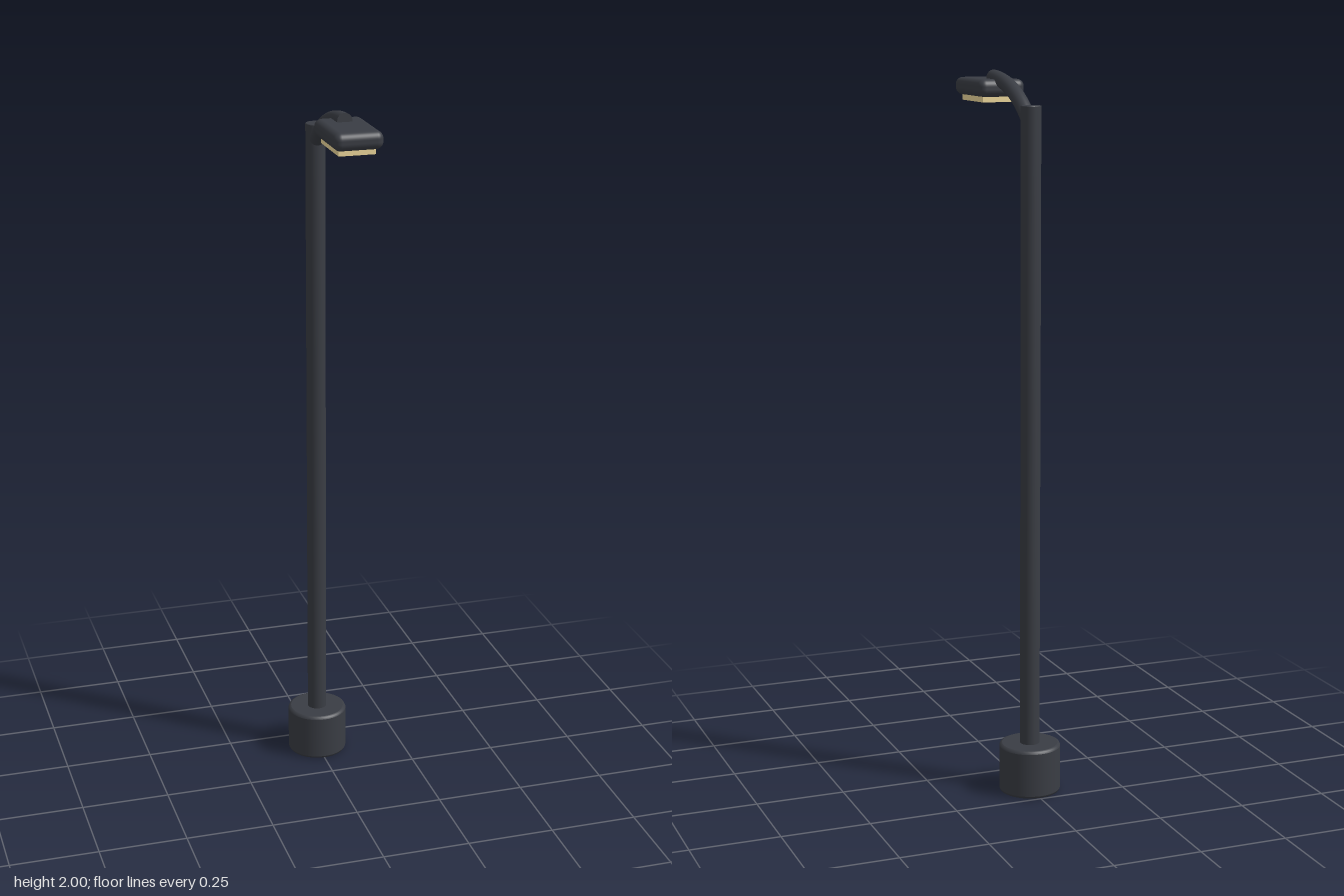
import * as THREE from 'three';
import { RoundedBoxGeometry } from 'three/addons/geometries/RoundedBoxGeometry.js';

const POLE_Z = -0.165;

export function createModel() {
  const group = new THREE.Group();
  const metal = new THREE.MeshStandardMaterial({ color: 0x3a3d44 });
  const glow = new THREE.MeshStandardMaterial({ color: 0xf2dc9e });

  const add = (name, geometry, material, x, y, z) => {
    const mesh = new THREE.Mesh(geometry, material);
    mesh.name = name;
    mesh.position.set(x, y, z);
    group.add(mesh);
    return mesh;
  };

  // Solid round post with small bevelled rims, standing on y = 0
  const post = (radius, height, bevel) => {
    const corners = [
      [0, 0], [radius - bevel, 0], [radius - bevel, 0],
      [radius - bevel * 0.3, bevel * 0.3], [radius, bevel],
      [radius, bevel], [radius, height - bevel], [radius, height - bevel],
      [radius - bevel * 0.3, height - bevel * 0.3], [radius - bevel, height],
      [radius - bevel, height], [0, height],
    ];
    return new THREE.LatheGeometry(corners.map(([r, y]) => new THREE.Vector2(r, y)), 40);
  };

  // Footing and pole
  add('base', post(0.086, 0.139, 0.008), metal, 0, 0, POLE_Z);
  add('pole', post(0.0275, 1.815, 0.002), metal, 0, 0.1, POLE_Z);

  // Curved arm rising out of the pole and levelling over the lamp head
  const start = new THREE.Vector3(0, 1.86, POLE_Z);
  const bend = new THREE.Vector3(0, 1.97, -0.06);
  const end = new THREE.Vector3(0, 1.978, 0.113);
  const curve = new THREE.QuadraticBezierCurve3(start, bend, end);
  add('arm', new THREE.TubeGeometry(curve, 32, 0.021, 20), metal, 0, 0, 0);

  // Flat cap closing the free end of the arm
  const cap = add('armEndCap', new THREE.CircleGeometry(0.021, 20), metal, end.x, end.y, end.z);
  cap.lookAt(end.clone().add(curve.getTangent(1)));

  // Lamp head with the light panel set under it
  add('lampHead', new RoundedBoxGeometry(0.134, 0.048, 0.21, 5, 0.02), metal, 0, 1.951, 0.145);
  add('lightPanel', new THREE.BoxGeometry(0.1, 0.03, 0.16), glow, 0, 1.927, 0.145);

  return group;
}
